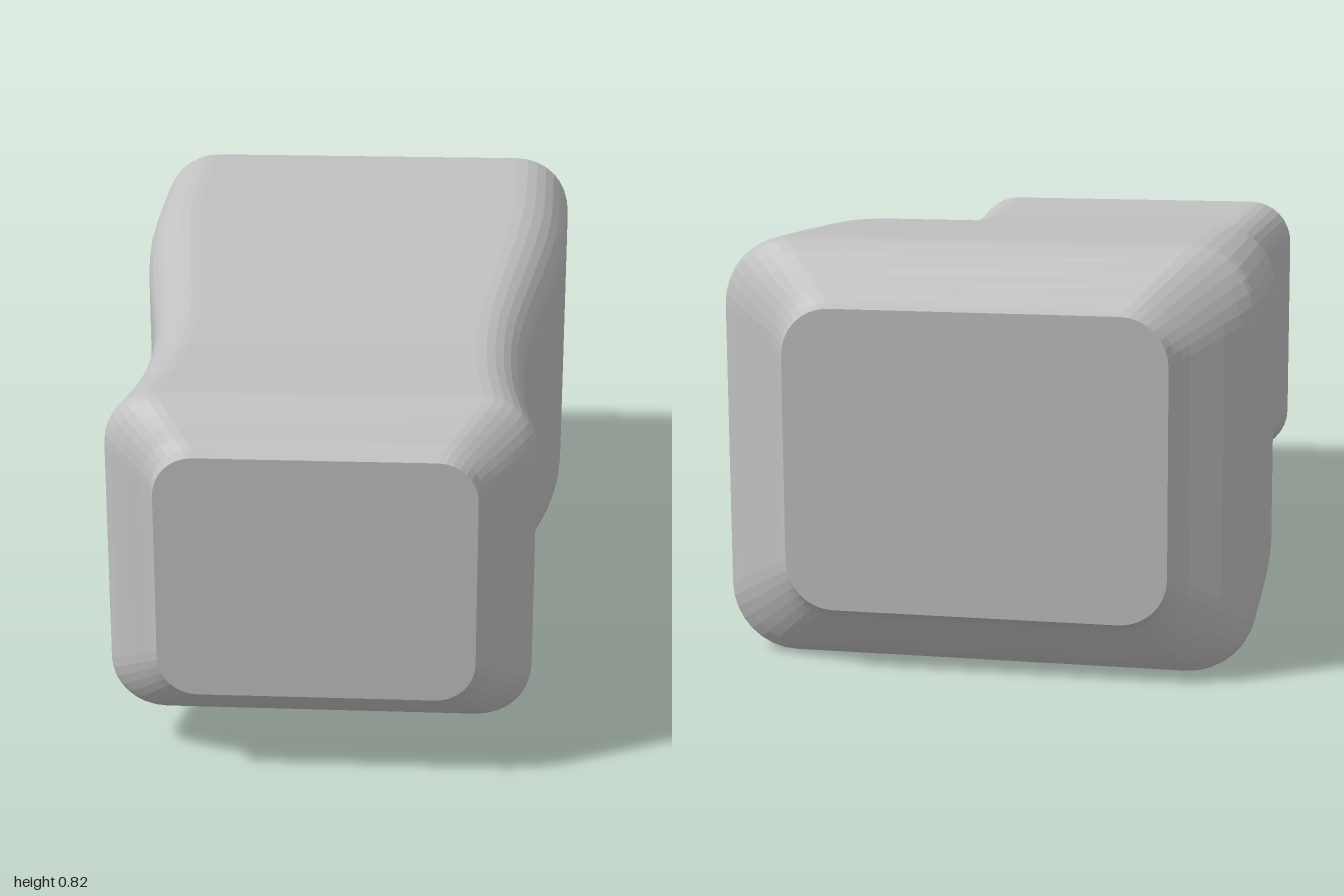
import * as THREE from 'three';

const CENTER_Y = 0.41;
const RATIO = 0.79; // height over width of every cross-section
const CORNER_STEPS = 8;

// Lengthwise profile: [z, half width], front to back
const PROFILE = [
  [1, 0.305], [0.97, 0.313], [0.935, 0.355], [0.9, 0.396], [0.875, 0.413], [0.85, 0.414],
  [0.7, 0.401], [0.5, 0.394], [0.25, 0.405], [0, 0.445], [-0.2, 0.479], [-0.4, 0.503],
  [-0.6, 0.513], [-0.8, 0.52], [-0.87, 0.521], [-0.89, 0.514], [-0.93, 0.463],
  [-0.965, 0.405], [-0.985, 0.379], [-1, 0.37],
];

// Rounded rectangle, counter-clockwise seen from the front
function crossSection(halfWidth) {
  const r = halfWidth * 0.25;
  const cx = halfWidth - r;
  const cy = halfWidth * RATIO - r;
  const points = [];
  [[1, 1], [-1, 1], [-1, -1], [1, -1]].forEach(([sx, sy], corner) => {
    for (let i = 0; i <= CORNER_STEPS; i++) {
      const a = (corner + i / CORNER_STEPS) * Math.PI / 2;
      points.push(new THREE.Vector2(sx * cx + r * Math.cos(a), sy * cy + r * Math.sin(a)));
    }
  });
  return points;
}

// Skin stretched over the cross-sections
function loft(sections) {
  const positions = [];
  const index = [];
  const n = crossSection(1).length;
  sections.forEach((s, i) => {
    for (const p of crossSection(s.y)) positions.push(p.x, p.y, s.x);
    if (i === 0) return;
    for (let j = 0; j < n; j++) {
      const k = (j + 1) % n;
      const a = (i - 1) * n + j, b = (i - 1) * n + k, c = i * n + j, d = i * n + k;
      index.push(a, c, b, b, c, d);
    }
  });
  const geometry = new THREE.BufferGeometry();
  geometry.setAttribute('position', new THREE.Float32BufferAttribute(positions, 3));
  geometry.setIndex(index);
  geometry.computeVertexNormals();
  return geometry;
}

export function createModel() {
  const group = new THREE.Group();
  group.name = 'taperedBlock';
  const grey = new THREE.MeshStandardMaterial({ color: 0xc0c0c0, flatShading: true });
  grey.name = 'grey';

  const add = (geometry, name) => {
    const mesh = new THREE.Mesh(geometry, grey);
    mesh.name = name;
    mesh.position.y = CENTER_Y;
    group.add(mesh);
    return mesh;
  };

  // Waisted body with bevelled ends
  const curve = new THREE.CatmullRomCurve3(PROFILE.map(([z, w]) => new THREE.Vector3(z, w, 0)));
  add(loft(curve.getPoints((PROFILE.length - 1) * 2)), 'body');

  // Flat end faces
  const cap = (w) => new THREE.ShapeGeometry(new THREE.Shape(crossSection(w)));
  add(cap(PROFILE[0][1]), 'frontFace').position.z = 1;
  const back = add(cap(PROFILE[PROFILE.length - 1][1]), 'backFace');
  back.position.z = -1;
  back.rotation.y = Math.PI;

  return group;
}
